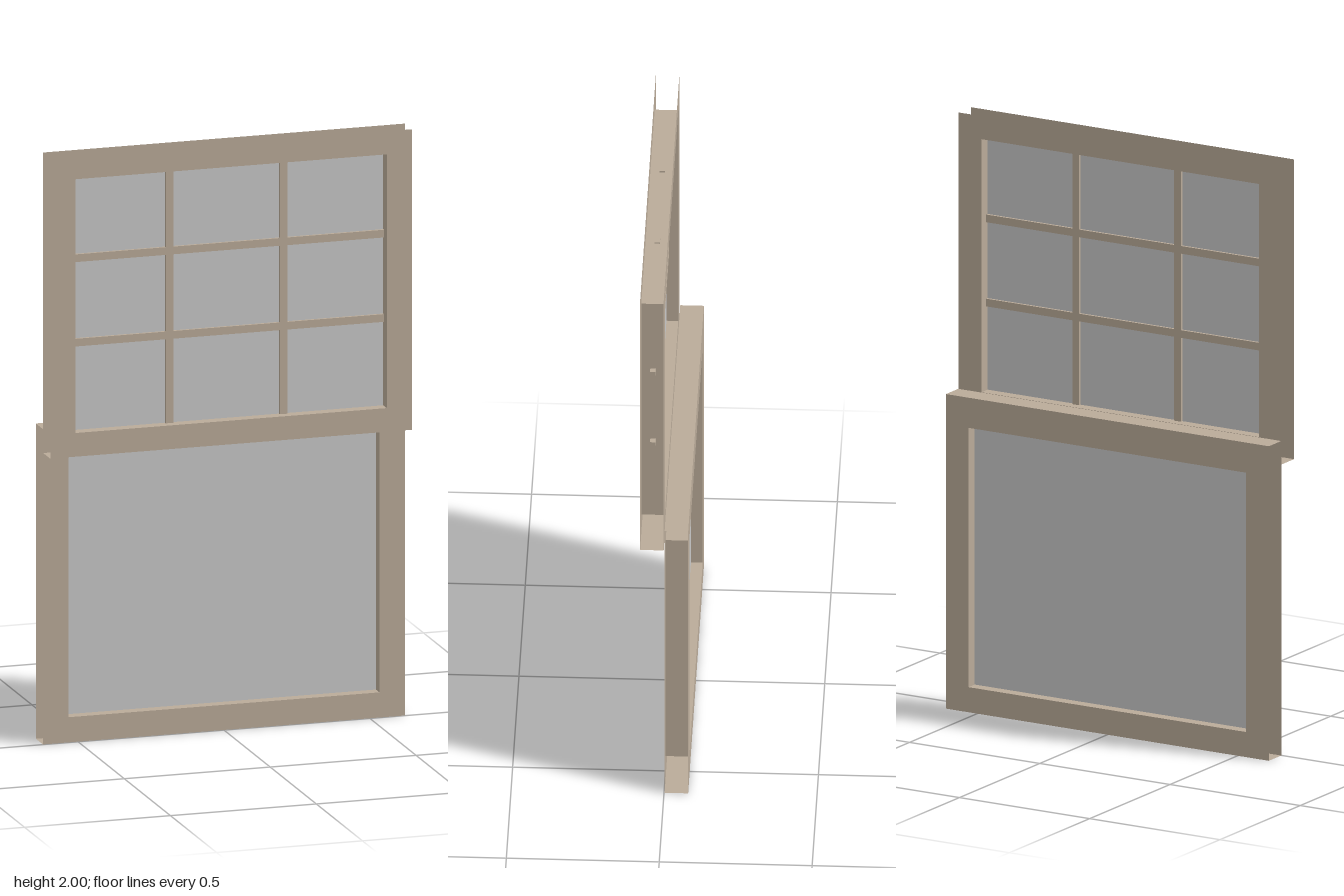
import * as THREE from 'three';

const frameMat = new THREE.MeshStandardMaterial({ color: 0xbaab99, side: THREE.DoubleSide });
frameMat.name = 'beige frame';
const glassMat = new THREE.MeshStandardMaterial({ color: 0xc9c9c9, side: THREE.DoubleSide });
glassMat.name = 'grey glass';

const HALF_W = 0.62;   // outer half width
const OPEN_W = 0.533;  // half width of the opening
const DEPTH = 0.077;

function add(group, name, geometry, material, x = 0, y = 0, z = 0) {
  const mesh = new THREE.Mesh(geometry, material);
  mesh.name = name;
  mesh.position.set(x, y, z);
  group.add(mesh);
  return mesh;
}

// Flat rectangular ring between the outer edge and the opening
function ring(y0, y1, o0, o1) {
  const shape = new THREE.Shape([
    new THREE.Vector2(-HALF_W, y0), new THREE.Vector2(HALF_W, y0),
    new THREE.Vector2(HALF_W, y1), new THREE.Vector2(-HALF_W, y1),
  ]);
  shape.holes.push(new THREE.Path([
    new THREE.Vector2(-OPEN_W, o0), new THREE.Vector2(-OPEN_W, o1),
    new THREE.Vector2(OPEN_W, o1), new THREE.Vector2(OPEN_W, o0),
  ]));
  return new THREE.ShapeGeometry(shape);
}

// Hollow sash, open at its outer sides, with a pane in mid depth
function sash(name, { y0, y1, o0, o1, back, top }) {
  const g = new THREE.Group();
  g.name = name;
  const mid = back + DEPTH / 2, oy = (o0 + o1) / 2, oh = o1 - o0;

  add(g, 'frontFace', ring(y0, y1, o0, o1), frameMat, 0, 0, back + DEPTH);
  // mirrored ring turned to face backwards
  add(g, 'backFace', ring(y0, y1, o0, o1).rotateY(Math.PI), frameMat, 0, 0, back);

  // inner reveals of the opening
  for (const s of [-1, 1]) {
    const side = new THREE.PlaneGeometry(DEPTH, oh).rotateY(-s * Math.PI / 2);
    add(g, s > 0 ? 'leftReveal' : 'rightReveal', side, frameMat, s * OPEN_W, oy, mid);
    const rail = new THREE.PlaneGeometry(2 * OPEN_W, DEPTH).rotateX(s * Math.PI / 2);
    add(g, s > 0 ? 'topReveal' : 'bottomReveal', rail, frameMat, 0, s > 0 ? o1 : o0, mid);
  }

  // outer edges that are closed
  const edge = () => new THREE.PlaneGeometry(2 * HALF_W, DEPTH);
  add(g, 'bottomEdge', edge().rotateX(Math.PI / 2), frameMat, 0, y0, mid);
  if (top) add(g, 'topEdge', edge().rotateX(-Math.PI / 2), frameMat, 0, y1, mid);

  add(g, 'glass', new THREE.PlaneGeometry(2 * OPEN_W, oh), glassMat, 0, oy, mid);
  return g;
}

export function createModel() {
  const model = new THREE.Group();
  model.name = 'sashWindow';

  const upper = sash('upperSash', { y0: 0.985, y1: 2, o0: 1.065, o1: 1.922, back: 0.001, top: false });
  const lower = sash('lowerSash', { y0: 0, y1: 1.065, o0: 0.085, o1: 0.963, back: -0.079, top: true });
  model.add(upper, lower);

  // glazing bars of the upper sash
  const barZ = 0.001 + DEPTH / 2, barW = 0.026, barD = 0.018;
  for (const x of [-0.202, 0.189])
    add(upper, 'verticalBar', new THREE.BoxGeometry(barW, 0.868, barD), frameMat, x, 1.4935, barZ);
  for (const y of [1.362, 1.647])
    add(upper, 'horizontalBar', new THREE.BoxGeometry(1.108, barW, barD), frameMat, 0, y, barZ);

  return model;
}
